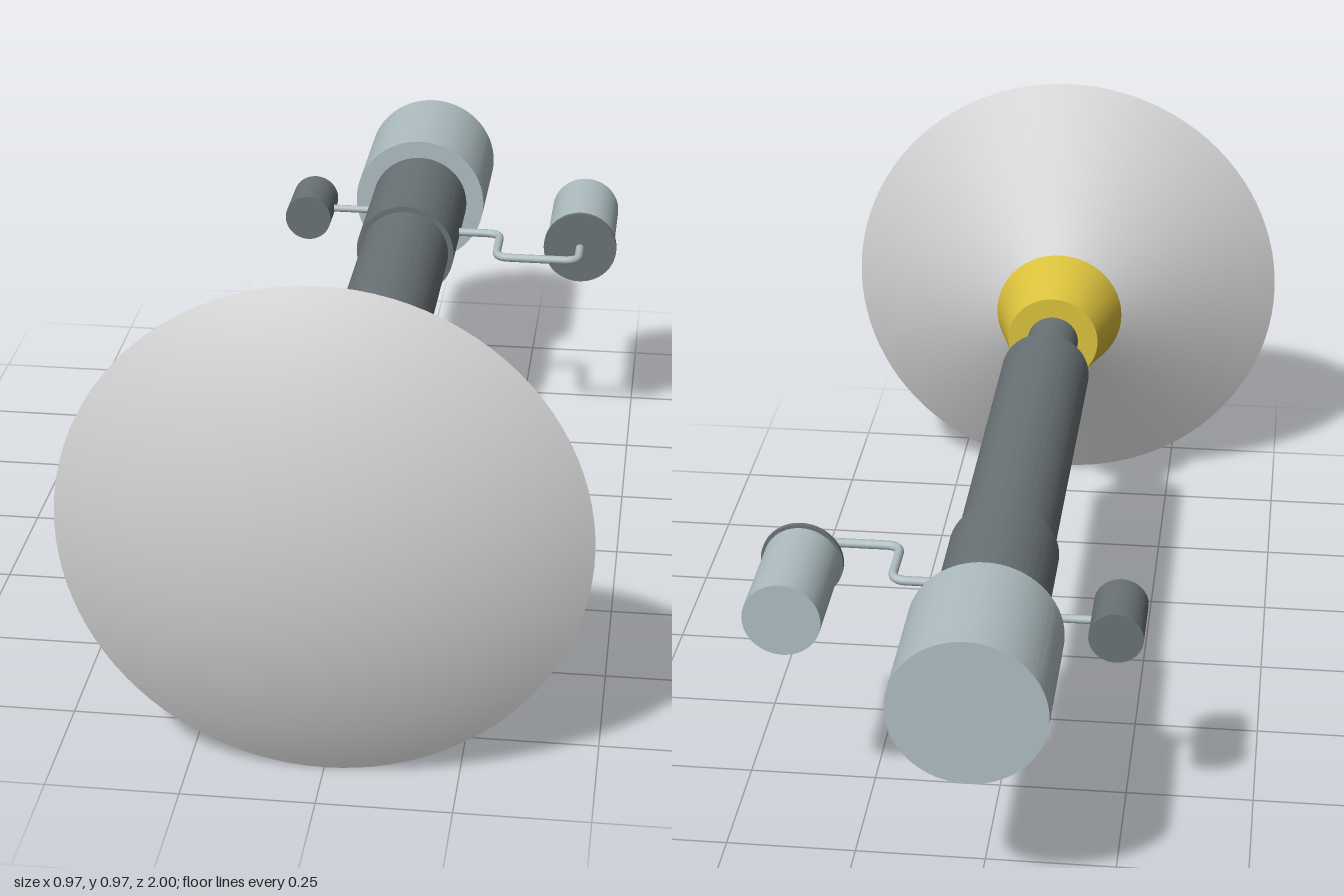
import * as THREE from 'three';
import { toCreasedNormals } from 'three/addons/utils/BufferGeometryUtils.js';

const AXIS_Y = 0.487;

export function createModel() {
  const root = new THREE.Group();
  root.name = 'dishInstrument';
  const body = new THREE.Group();
  body.name = 'body';
  body.position.y = AXIS_Y;
  root.add(body);

  const mat = (name, color) => {
    const m = new THREE.MeshStandardMaterial({ color });
    m.name = name;
    return m;
  };
  const dishGrey = mat('dishGrey', 0xd2d2d2);
  const darkGrey = mat('darkGrey', 0x6a7275);
  const paleBlue = mat('paleBlueGrey', 0xafbdc1);
  const yellow = mat('yellow', 0xdcc23c);
  const green = mat('green', 0x7f9f5f);
  const magenta = mat('magenta', 0x9a3f78);

  const add = (name, geometry, material, x = 0, y = 0, z = 0) => {
    const m = new THREE.Mesh(geometry, material);
    m.name = name;
    m.position.set(x, y, z);
    body.add(m);
    return m;
  };
  // Cylinder or cone along z, from z0 (back) to z1 (front)
  const rod = (name, material, z0, z1, r0, r1 = r0, x = 0) => add(name,
    new THREE.CylinderGeometry(r1, r0, z1 - z0, 64).rotateX(Math.PI / 2),
    material, x, 0, (z0 + z1) / 2);
  // Surface of revolution about z from [radius, z] pairs, back to front
  const turned = (name, material, points) => add(name,
    new THREE.LatheGeometry(points.map(([r, z]) => new THREE.Vector2(r, z)), 96).rotateX(Math.PI / 2),
    material);
  // Housing with full end rings and a flat access bay underneath
  const housing = (name, material, z0, z1, r, back, front) => {
    rod(name + 'BackRing', material, z0, z0 + back, r);
    rod(name + 'FrontRing', material, z1 - front, z1, r);
    const shape = new THREE.Shape();
    shape.absarc(0, 0, r, -Math.PI / 4, Math.PI * 5 / 4, false);
    shape.closePath();
    const geo = new THREE.ExtrudeGeometry(shape, {
      depth: z1 - z0 - back - front, bevelEnabled: false, curveSegments: 64,
    });
    add(name, toCreasedNormals(geo, 0.5), material, 0, 0, z0 + back);
  };
  // Small pipe with rounded bends through [x, z] corner points
  const pipe = (name, points, radius, bend) => {
    const v = points.map(([x, z]) => new THREE.Vector3(x, 0, z));
    const path = new THREE.CurvePath();
    let from = v[0];
    for (let i = 1; i < v.length - 1; i++) {
      const a = v[i].clone().add(v[i - 1].clone().sub(v[i]).setLength(bend));
      const b = v[i].clone().add(v[i + 1].clone().sub(v[i]).setLength(bend));
      path.add(new THREE.LineCurve3(from, a));
      path.add(new THREE.QuadraticBezierCurve3(a, v[i], b));
      from = b;
    }
    path.add(new THREE.LineCurve3(from, v[v.length - 1]));
    add(name, new THREE.TubeGeometry(path, 100, radius, 12), paleBlue);
  };

  // Dish: domed front and conical back
  const rim = 0.485, sag = 0.118, sphere = (rim * rim + sag * sag) / (2 * sag);
  const dome = [];
  for (let i = 0; i <= 20; i++) {
    const a = Math.asin(rim / sphere) * (1 - i / 20);
    dome.push([sphere * Math.sin(a), 1 - sphere + sphere * Math.cos(a)]);
  }
  turned('dishFront', dishGrey, dome);
  turned('dishBack', dishGrey, [[0.14, 0.7], [rim, 1 - sag]]);

  // Collar and neck
  rod('dishCollar', yellow, 0.55, 0.7, 0.1, 0.142);
  rod('neck', darkGrey, 0.37, 0.56, 0.056);

  // Stepped housings
  housing('mainTube', darkGrey, -0.43, 0.38, 0.095, 0.08, 0.06);
  housing('rearTube', darkGrey, -0.73, -0.42, 0.107, 0.04, 0.03);
  housing('endCan', paleBlue, -1, -0.72, 0.146, 0.03, 0.03);

  // Contents of the access bays
  add('mainBayGreenPanel', new THREE.BoxGeometry(0.076, 0.004, 0.66), green, 0.026, -0.068, -0.015);
  add('mainBayMagentaStrip', new THREE.BoxGeometry(0.008, 0.009, 0.64), magenta, -0.016, -0.069, -0.015);
  add('mainBayPalePanel', new THREE.BoxGeometry(0.04, 0.004, 0.66), paleBlue, -0.042, -0.068, -0.015);
  add('rearBayPanel', new THREE.BoxGeometry(0.08, 0.004, 0.2), paleBlue, -0.03, -0.076, -0.57);
  add('endBayGreenBlock', new THREE.BoxGeometry(0.12, 0.02, 0.08), green, 0, -0.108, -0.93);

  // Side tank on the left with a bent pipe
  rod('sideTank', paleBlue, -0.72, -0.495, 0.074, 0.074, 0.38);
  rod('sideTankFlange', darkGrey, -0.5, -0.49, 0.08, 0.08, 0.38);
  pipe('sideTankPipe', [[0.09, -0.55], [0.2, -0.55], [0.2, -0.417], [0.38, -0.417], [0.38, -0.495]], 0.009, 0.03);

  // Small canister on the right with a straight pipe
  rod('smallCanister', darkGrey, -0.72, -0.59, 0.051, 0.051, -0.24);
  pipe('smallCanisterPipe', [[-0.21, -0.657], [-0.09, -0.657]], 0.008, 0.01);

  return root;
}
